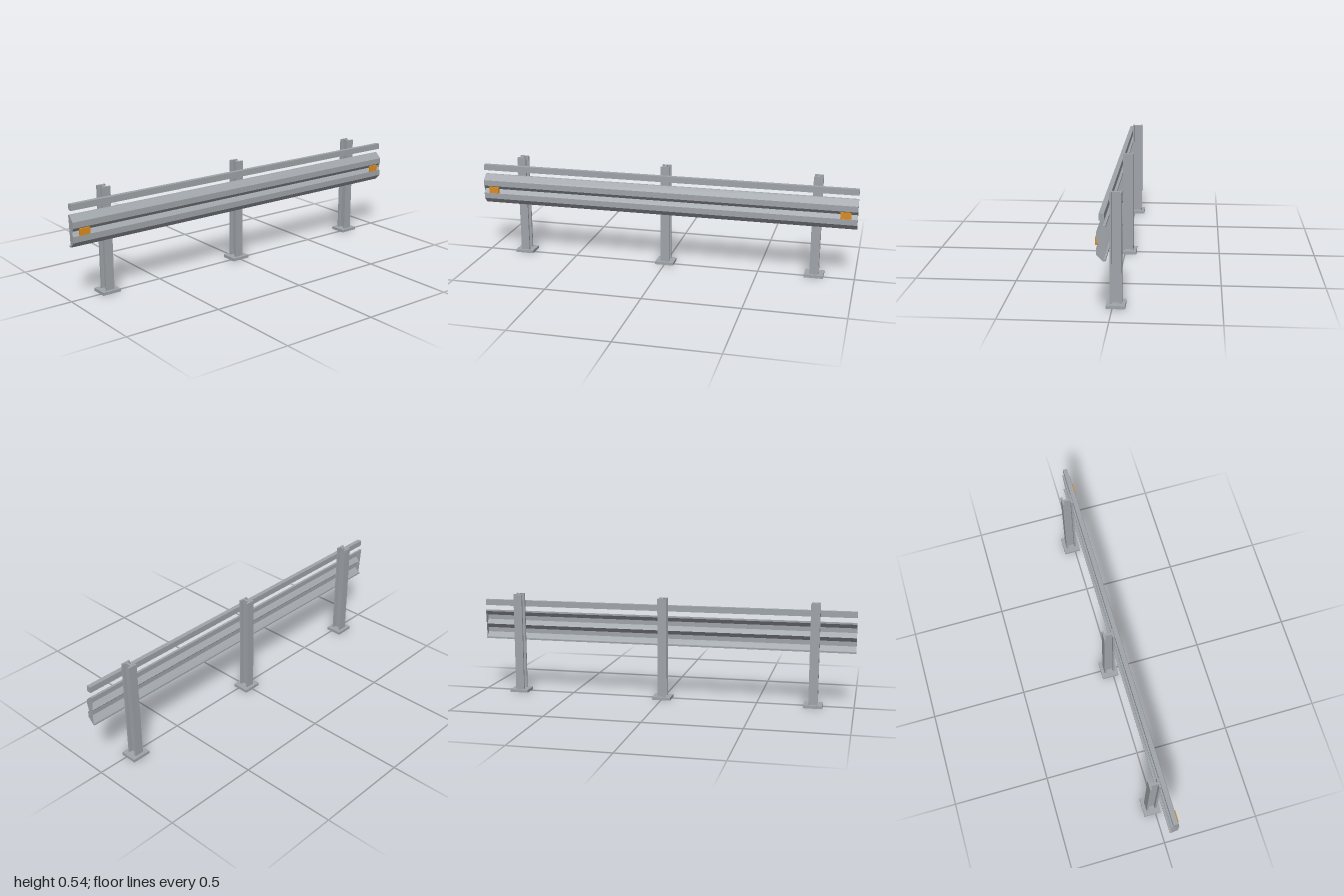
import * as THREE from 'three';

export function createModel() {
  const model = new THREE.Group();
  model.name = 'guardrail';
  const steel = new THREE.MeshStandardMaterial({ color: 0xa0a5aa, side: THREE.DoubleSide });
  steel.name = 'galvanised steel';
  const amber = new THREE.MeshStandardMaterial({ color: 0xdc8c1e });
  amber.name = 'amber reflector';

  const add = (name, geometry, material, parent = model) => {
    const mesh = new THREE.Mesh(geometry, material);
    mesh.name = name;
    parent.add(mesh);
    return mesh;
  };
  // box given by its limits on each axis
  const box = (name, [x0, x1], [y0, y1], [z0, z1], material, parent) =>
    add(name, new THREE.BoxGeometry(x1 - x0, y1 - y0, z1 - z0), material, parent)
      .position.set((x0 + x1) / 2, (y0 + y1) / 2, (z0 + z1) / 2);
  // cross-section from [z, y] pairs, turned to run along x
  const section = (pts) => new THREE.Shape(pts.map(([z, y]) => new THREE.Vector2(-z, y)));

  // corrugated beam: bent sheet with lips at top and bottom
  const outer = [[0.012, 0.438], [0.024, 0.438], [0.053, 0.409], [0.053, 0.379], [0.033, 0.359],
    [0.053, 0.339], [0.053, 0.309], [0.024, 0.28], [0.012, 0.28]];
  const inner = [[0.012, 0.288], [0.021, 0.288], [0.045, 0.312], [0.045, 0.336], [0.022, 0.359],
    [0.045, 0.382], [0.045, 0.406], [0.021, 0.43], [0.012, 0.43]];
  const sheet = new THREE.ExtrudeGeometry(section([...outer, ...inner]), { depth: 2, bevelEnabled: false });
  sheet.translate(0, 0, -1).rotateY(Math.PI / 2);
  add('corrugatedBeam', sheet, steel);

  // plates closing the beam ends
  const cap = section([[0.012, 0.438], [0.024, 0.438], [0.053, 0.409], [0.053, 0.379], [0.044, 0.348],
    [0.053, 0.339], [0.053, 0.309], [0.024, 0.28], [0.021, 0.288], [0.012, 0.43]]);
  for (const side of [-1, 1]) {
    const plate = new THREE.ShapeGeometry(cap);
    plate.rotateY(Math.PI / 2).translate(side * 0.9995, 0, 0);
    add('beamEnd', plate, steel);
    box('reflector', [side * 0.941 - 0.027, side * 0.941 + 0.027], [0.342, 0.375], [0.051, 0.061], amber);
  }

  // slim upper rail
  box('upperRail', [-1, 1], [0.463, 0.494], [0.018, 0.041], steel);

  // I-section posts on base plates
  for (const x of [-0.793, 0, 0.793]) {
    const post = new THREE.Group();
    post.name = 'post';
    post.position.x = x;
    model.add(post);
    const height = [0.015, 0.537];
    box('frontFlange', [-0.023, 0.023], height, [0.002, 0.012], steel, post);
    box('backFlange', [-0.023, 0.023], height, [-0.043, -0.033], steel, post);
    box('web', [-0.006, 0.006], height, [-0.033, 0.002], steel, post);
    box('basePlate', [-0.049, 0.049], [0, 0.015], [-0.06, 0.028], steel, post);
  }
  return model;
}
